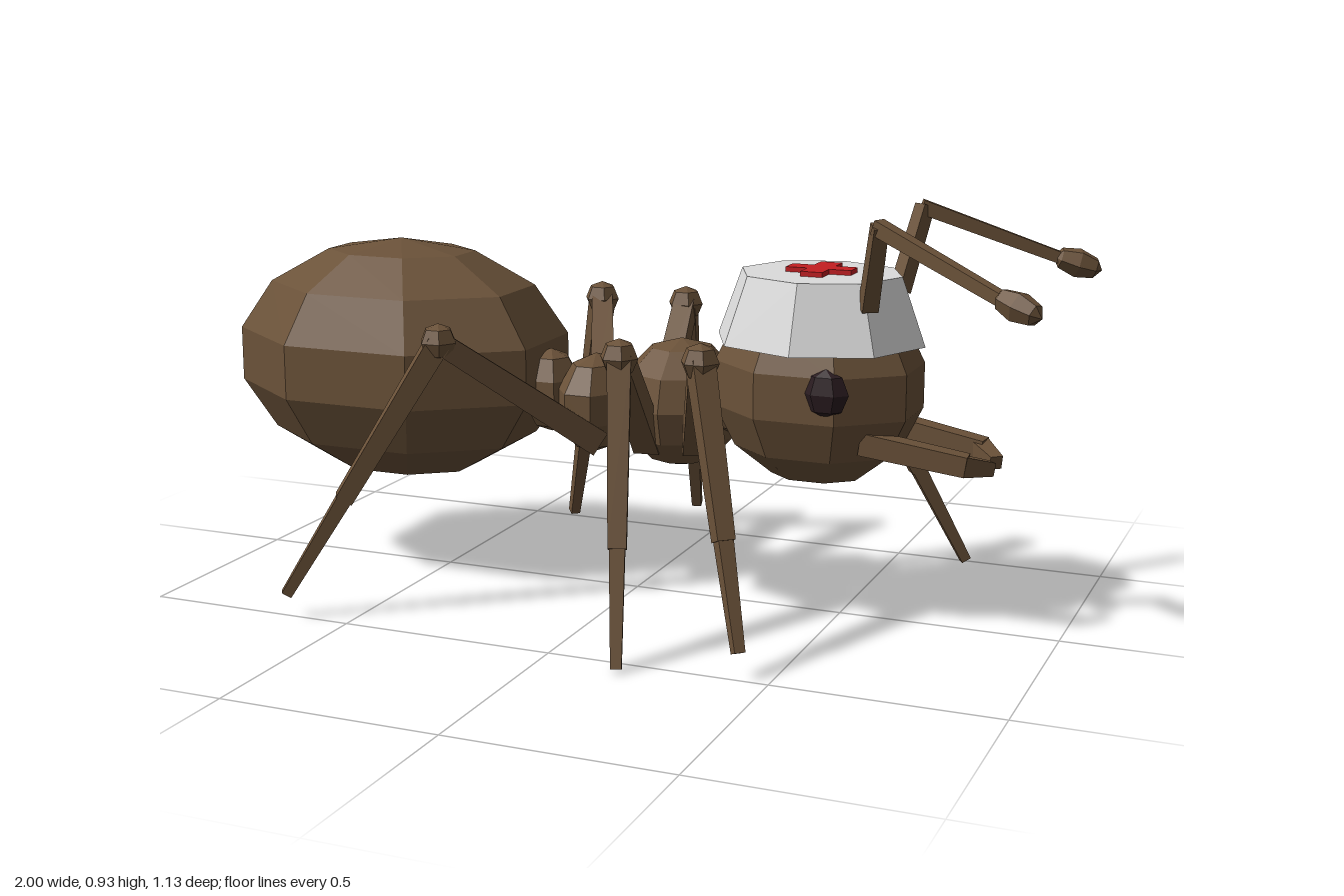
import * as THREE from 'three';

const flat = (name, color) => {
  const m = new THREE.MeshStandardMaterial({ color, flatShading: true });
  m.name = name;
  return m;
};

export function createModel() {
  const brown = flat('brown shell', 0x6b5239);
  const dark = flat('dark eye', 0x2a1c20);
  const white = flat('white cap', 0xdcdcdc);
  const red = flat('red cross', 0xc41e22);

  const model = new THREE.Group();
  model.name = 'ant';
  const V = (a) => new THREE.Vector3(...a);

  const add = (name, geometry, material, parent = model) => {
    const mesh = new THREE.Mesh(geometry, material);
    mesh.name = name;
    parent.add(mesh);
    return mesh;
  };

  // Low-poly ellipsoid; turn spins the facets about the vertical axis
  const blob = (name, pos, radii, seg, rings, turn, material = brown, parent = model) => {
    const g = new THREE.SphereGeometry(1, seg, rings);
    g.rotateY(turn);
    g.scale(...radii);
    const mesh = add(name, g, material, parent);
    mesh.position.set(...pos);
    return mesh;
  };

  // Tapered square bar from a to b, kept level about its length
  const bar = (name, a, b, w0, w1, parent) => {
    const p = V(a), q = V(b);
    const g = new THREE.CylinderGeometry(w1 * Math.SQRT1_2, w0 * Math.SQRT1_2, p.distanceTo(q), 4);
    g.rotateY(Math.PI / 4);
    g.rotateX(Math.PI / 2);
    const mesh = add(name, g, brown, parent);
    mesh.position.copy(p).add(q).multiplyScalar(0.5);
    mesh.lookAt(q);
    return mesh;
  };

  // Body segments
  const T = Math.PI / 8;
  blob('abdomen', [-0.615, 0.515, 0], [0.427, 0.29, 0.316], 8, 7, T);
  blob('waistNode', [-0.22, 0.465, 0], [0.075, 0.1, 0.08], 6, 5, 0);
  blob('rearThorax', [-0.105, 0.445, 0], [0.088, 0.118, 0.124], 8, 5, T);
  blob('frontThorax', [0.11, 0.465, 0], [0.145, 0.15, 0.15], 8, 6, 0);
  blob('thoraxJoint', [-0.02, 0.45, 0], [0.06, 0.07, 0.06], 6, 4, 0);
  blob('neck', [0.23, 0.48, 0], [0.07, 0.08, 0.08], 6, 4, 0);
  blob('head', [0.44, 0.535, 0], [0.245, 0.23, 0.205], 8, 7, T);

  // Cap with a raised cross on top
  const cap = new THREE.CylinderGeometry(1, 1.3, 0.152, 8);
  cap.scale(0.185, 1, 0.171);
  add('cap', cap, white).position.set(0.44, 0.711, 0);
  const s = new THREE.Shape();
  const a = 0.025, b = 0.075;
  [[-a, -b], [a, -b], [a, -a], [b, -a], [b, a], [a, a], [a, b], [-a, b], [-a, a], [-b, a], [-b, -a], [-a, -a]]
    .forEach(([x, y], i) => (i ? s.lineTo(x, y) : s.moveTo(x, y)));
  const crossGeo = new THREE.ExtrudeGeometry(s, { depth: 0.018, bevelEnabled: false });
  crossGeo.rotateX(-Math.PI / 2);
  add('capCross', crossGeo, red).position.set(0.44, 0.78, 0);

  // Paired head parts
  for (const k of [1, -1]) {
    const side = k > 0 ? 'left' : 'right';
    blob(side + 'Eye', [0.51, 0.553, 0.177 * k], [0.052, 0.054, 0.03], 6, 4, 0, dark);

    const jaw = new THREE.Group();
    jaw.name = side + 'Mandible';
    model.add(jaw);
    bar('mandibleArm', [0.57, 0.435, 0.1 * k], [0.8, 0.4, 0.08 * k], 0.05, 0.045, jaw);
    bar('mandibleTip', [0.785, 0.4, 0.085 * k], [0.84, 0.385, 0.025 * k], 0.045, 0.03, jaw);

    const antenna = new THREE.Group();
    antenna.name = side + 'Antenna';
    model.add(antenna);
    bar('antennaBase', [0.585, 0.735, 0.125 * k], [0.622, 0.922, 0.183 * k], 0.036, 0.032, antenna);
    bar('antennaRod', [0.615, 0.92, 0.18 * k], [0.92, 0.8, 0.3 * k], 0.032, 0.026, antenna);
    const tip = blob('antennaTip', [0.945, 0.793, 0.308 * k], [0.034, 0.058, 0.034], 6, 4, 0, brown, antenna);
    tip.quaternion.setFromUnitVectors(new THREE.Vector3(0, 1, 0), V([0.31, -0.1, 0.12 * k]).normalize());
  }

  // Legs: hip, knee, foot
  const legs = [
    ['leftFrontLeg', [0.18, 0.39, 0.09], [0.275, 0.63, 0.315], [0.43, 0.06, 0.49]],
    ['leftMiddleLeg', [0.06, 0.38, 0.08], [0.097, 0.63, 0.335], [0.18, 0.01, 0.55]],
    ['leftBackLeg', [-0.07, 0.37, 0.08], [-0.343, 0.63, 0.33], [-0.645, 0.06, 0.515]],
    ['rightFrontLeg', [0.17, 0.39, -0.09], [0.385, 0.63, -0.32], [0.67, 0.01, -0.495]],
    ['rightMiddleLeg', [0.02, 0.38, -0.08], [-0.015, 0.63, -0.345], [-0.06, 0.06, -0.55]],
    ['rightBackLeg', [-0.12, 0.38, -0.07], [-0.235, 0.63, -0.335], [-0.4, 0.01, -0.52]],
  ];
  for (const [name, hip, knee, foot] of legs) {
    const leg = new THREE.Group();
    leg.name = name;
    model.add(leg);
    const ankle = V(knee).lerp(V(foot), 0.62).toArray();
    bar('thigh', hip, knee, 0.06, 0.05, leg);
    blob('knee', knee, [0.044, 0.042, 0.044], 6, 4, 0, brown, leg);
    bar('shin', knee, ankle, 0.052, 0.04, leg);
    bar('foot', ankle, foot, 0.034, 0.024, leg);
  }
  return model;
}
